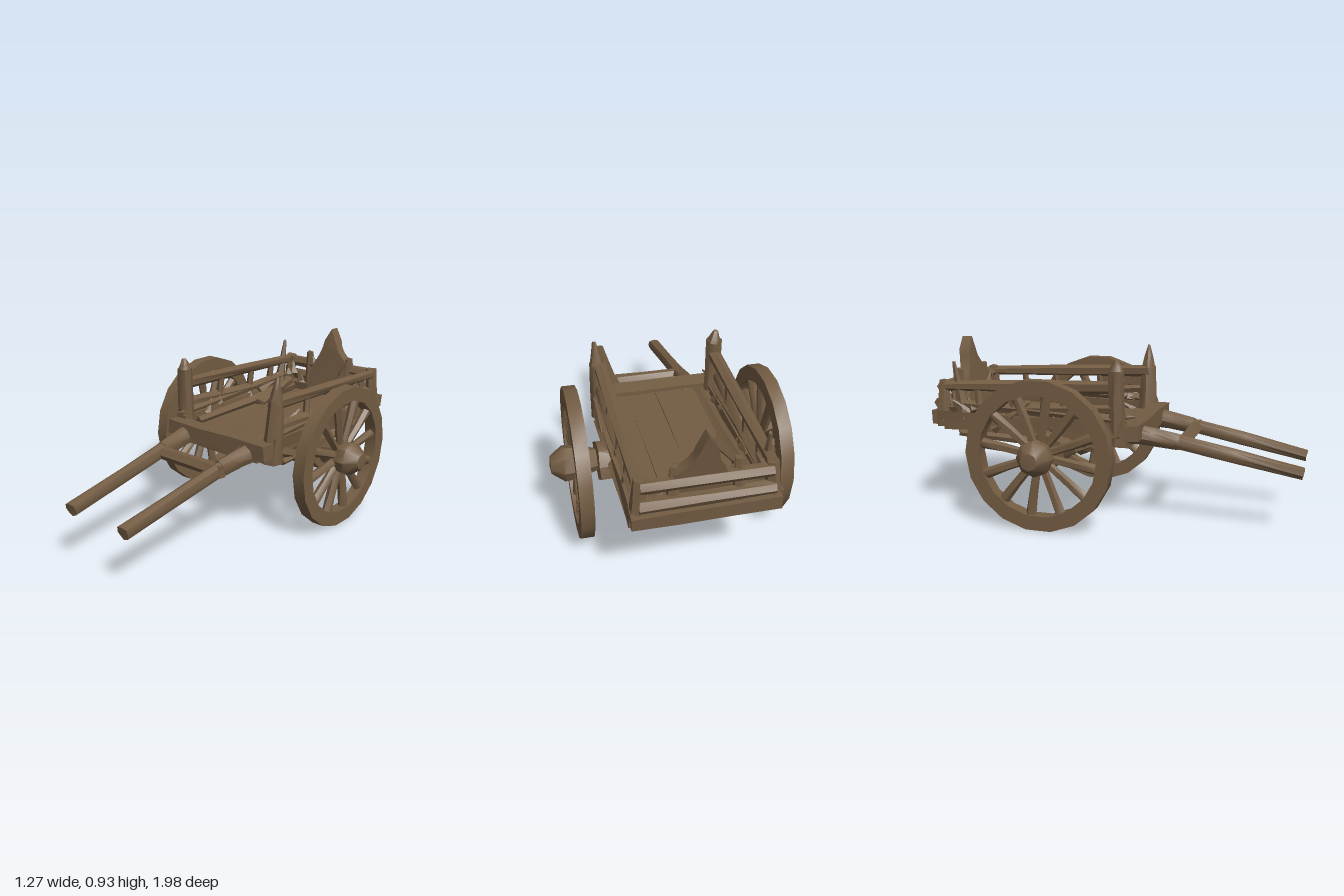
import * as THREE from 'three';
import { toCreasedNormals } from 'three/addons/utils/BufferGeometryUtils.js';

export function createModel() {
  const cart = new THREE.Group();
  cart.name = 'handCart';
  const wood = new THREE.MeshStandardMaterial({ color: 0x735c43 });
  wood.name = 'weathered wood';

  let seed = 7;
  const rand = () => (seed = (seed * 16807) % 2147483647) / 2147483647;
  const V = (x, y, z) => new THREE.Vector3(x, y, z);

  function add(name, geo, parent = cart) {
    const mesh = new THREE.Mesh(toCreasedNormals(geo, 0.75), wood);
    mesh.name = name;
    parent.add(mesh);
    return mesh;
  }

  // Hewn look: shift corners by a hash of their position, so shared corners stay together
  function hew(geo, amount) {
    const p = geo.attributes.position;
    for (let i = 0; i < p.count; i++) {
      const c = [p.getX(i), p.getY(i), p.getZ(i)];
      const key = c.reduce((s, v, k) => s + Math.round(v * 1000) * (12.99 + 65.2 * k), 3.1);
      const n = c.map((v, k) => {
        const h = Math.sin(key * (1 + k * 0.37)) * 43758.5453;
        return v + (h - Math.floor(h) - 0.5) * 2 * amount;
      });
      p.setXYZ(i, ...n);
    }
    return geo;
  }

  // Tapered pole between two points
  function pole(name, a, b, r1, r2, parent = cart, sides = 6, rough = 0.004) {
    const d = b.clone().sub(a);
    const geo = hew(new THREE.CylinderGeometry(r2, r1, d.length(), sides, 2), rough);
    geo.applyQuaternion(new THREE.Quaternion().setFromUnitVectors(V(0, 1, 0), d.normalize()));
    geo.translate((a.x + b.x) / 2, (a.y + b.y) / 2, (a.z + b.z) / 2);
    return add(name, geo, parent);
  }

  // Rough board given by its extents
  function board(name, x0, x1, y0, y1, z0, z1, rough = 0.006) {
    const geo = new THREE.BoxGeometry(x1 - x0, y1 - y0, z1 - z0,
      x1 - x0 > 0.4 ? 3 : 1, 1, z1 - z0 > 0.4 ? 4 : 1);
    geo.translate((x0 + x1) / 2, (y0 + y1) / 2, (z0 + z1) / 2);
    return add(name, hew(geo, rough));
  }

  // Wheels: rim, spokes and hub, built around the x axis
  function wheel(side, x) {
    const g = new THREE.Group();
    g.name = side > 0 ? 'leftWheel' : 'rightWheel';
    const profile = [[0.315, -0.034], [0.392, -0.034], [0.392, 0.034], [0.315, 0.034], [0.315, -0.034]]
      .map(([r, y]) => new THREE.Vector2(r, y));
    add('rim', new THREE.LatheGeometry(profile, 18).rotateZ(-Math.PI / 2), g);
    for (let i = 0; i < 12; i++) {
      const a = (i + 0.3) / 12 * Math.PI * 2;
      const at = r => V(0, Math.cos(a) * r, Math.sin(a) * r);
      pole('spoke', at(0.06), at(0.33), 0.02, 0.027, g, 6, 0.003);
    }
    const hub = [[0, -0.1], [0.058, -0.1], [0.075, -0.04], [0.092, 0.035], [0.094, 0.07], [0.045, 0.135], [0, 0.14]]
      .map(([r, y]) => new THREE.Vector2(r, y));
    add('hub', new THREE.LatheGeometry(hub, 8).rotateZ(-side * Math.PI / 2), g);
    g.position.set(x, 0.395, -0.299);
    cart.add(g);
  }
  wheel(1, 0.503);
  wheel(-1, -0.49);

  // Axle beam
  const axle = new THREE.CylinderGeometry(0.105, 0.105, 0.8, 8, 3);
  axle.rotateY(Math.PI / 8).rotateZ(Math.PI / 2).scale(1, 0.9, 1.16).translate(0, 0.392, -0.31);
  add('axle', hew(axle, 0.006));

  // Floor planks and the beams around them
  for (let i = 0; i < 4; i++) {
    const x = -0.31 + i * 0.158;
    board('floorPlank', x, x + 0.159, 0.455, 0.515, -0.93, 0.13, 0.003);
  }
  board('frontBeam', -0.34, 0.35, 0.46, 0.54, 0.08, 0.18);
  board('frontLowerBeam', -0.25, 0.25, 0.4, 0.46, 0.02, 0.1);
  board('rearBeam', -0.34, 0.35, 0.49, 0.56, -0.98, -0.88);
  board('rearLowerBeam', -0.28, 0.3, 0.44, 0.49, -0.86, -0.77);

  for (const s of [-1, 1]) {
    // Draw shafts, with the thick root running on under the floor
    pole('shaft', V(s * 0.188, 0.32, 0.99), V(s * 0.21, 0.455, 0.3), 0.036, 0.039, cart, 8);
    pole('shaftRoot', V(s * 0.206, 0.445, 0.36), V(s * 0.23, 0.485, 0.08), 0.042, 0.06, cart, 8);
    board('underBeam', s * 0.23 - 0.05, s * 0.23 + 0.05, 0.425, 0.47, -0.85, 0.1);

    // Side sill, slats and top rail
    board('sideSill', s * 0.318 - 0.035, s * 0.318 + 0.035, 0.49, 0.56, -0.95, 0.1, 0.01);
    pole('lowerSlat', V(s * 0.32, 0.56, 0.04), V(s * 0.31, 0.61, -0.86), 0.03, 0.026, cart, 5, 0.008);
    pole('middleSlat', V(s * 0.33, 0.62, 0.03), V(s * 0.3, 0.57, -0.88), 0.02, 0.024, cart, 5, 0.008);
    pole('topRail', V(s * 0.315, 0.735, 0.07), V(s * 0.31, 0.7, -0.9), 0.034, 0.028, cart, 6, 0.006);
    pole('lowRail', V(s * 0.34, 0.41, 0.02), V(s * 0.33, 0.45, -0.82), 0.022, 0.022, cart, 5, 0.006);
    for (const z of [-0.22, -0.5, -0.7]) {
      pole('stanchion', V(s * 0.325, 0.5, z), V(s * 0.31, 0.72, z - 0.02), 0.022, 0.016, cart, 5);
    }

    // Rear corner posts and tail stakes
    pole('rearPost', V(s * 0.315, 0.5, -0.93), V(s * 0.3, 0.73, -0.92), 0.042, 0.03);
    pole('tailStake', V(s * 0.155, 0.54, -0.93), V(s * 0.145, 0.77, -0.91), 0.036, 0.02);
    pole('axleStrut', V(s * 0.33, 0.4, -0.15), V(s * 0.33, 0.5, 0.08), 0.03, 0.035, cart, 5);
  }

  // Pointed stake and inner side boards on the right
  pole('rearStake', V(-0.31, 0.52, -0.8), V(-0.305, 0.83, -0.855), 0.042, 0.008, cart, 5);
  pole('innerBoard', V(-0.24, 0.52, 0.05), V(-0.25, 0.54, -0.85), 0.035, 0.045, cart, 5, 0.01);
  pole('looseSlat', V(-0.19, 0.52, -0.45), V(-0.24, 0.58, -0.82), 0.03, 0.03, cart, 5, 0.01);

  // Crossbar between the shafts
  pole('crossbar', V(-0.22, 0.44, 0.375), V(0.24, 0.44, 0.375), 0.036, 0.036);

  // Front corner posts, the left one ending in a long point
  pole('rightFrontPost', V(-0.31, 0.44, 0.06), V(-0.318, 0.82, 0.06), 0.045, 0.044, cart, 8);
  pole('rightFrontPostTip', V(-0.318, 0.81, 0.06), V(-0.325, 0.87, 0.06), 0.042, 0.012, cart, 8);
  pole('leftFrontPost', V(0.31, 0.42, 0.06), V(0.33, 0.76, 0.06), 0.064, 0.04, cart, 8);
  pole('leftFrontPostTip', V(0.33, 0.75, 0.06), V(0.338, 0.88, 0.06), 0.041, 0.006, cart, 8);

  // Tailboard with a pointed crown, its foot leaning into the bed
  const shape = new THREE.Shape();
  shape.moveTo(-0.125, 0.55);
  shape.lineTo(0.155, 0.53);
  shape.lineTo(0.15, 0.74);
  shape.quadraticCurveTo(0.06, 0.79, 0.05, 0.86);
  shape.lineTo(0.012, 0.935);
  shape.lineTo(-0.035, 0.86);
  shape.quadraticCurveTo(-0.045, 0.78, -0.1, 0.7);
  shape.closePath();
  const tail = new THREE.ExtrudeGeometry(shape, { depth: 0.06, bevelEnabled: false, curveSegments: 4 });
  tail.translate(0, 0, -0.968);
  const tp = tail.attributes.position;
  for (let i = 0; i < tp.count; i++) tp.setZ(i, tp.getZ(i) + Math.max(0, 0.86 - tp.getY(i)) * 0.18);
  add('tailboard', tail);
  pole('tailUpperRail', V(-0.3, 0.69, -0.93), V(0.3, 0.69, -0.93), 0.036, 0.034);
  pole('tailLowerRail', V(-0.31, 0.6, -0.945), V(0.31, 0.6, -0.945), 0.034, 0.034);

  // Splinters along the sides and the tail
  for (let i = 0; i < 44; i++) {
    const s = i % 2 ? 1 : -1;
    const tailEnd = i % 3 === 0;
    const a = tailEnd
      ? V(s * (0.1 + rand() * 0.2), 0.54 + rand() * 0.15, -0.94 + rand() * 0.08)
      : V(s * (0.28 + rand() * 0.06), 0.48 + rand() * 0.1, 0.05 - rand() * 0.88);
    const b = a.clone().add(V((rand() - 0.5) * 0.08, (rand() - 0.1) * 0.1, (rand() - 0.5) * (tailEnd ? 0.06 : 0.25)));
    pole('splinter', a, b, 0.026, 0.004, cart, 4, 0.004);
  }
  return cart;
}
